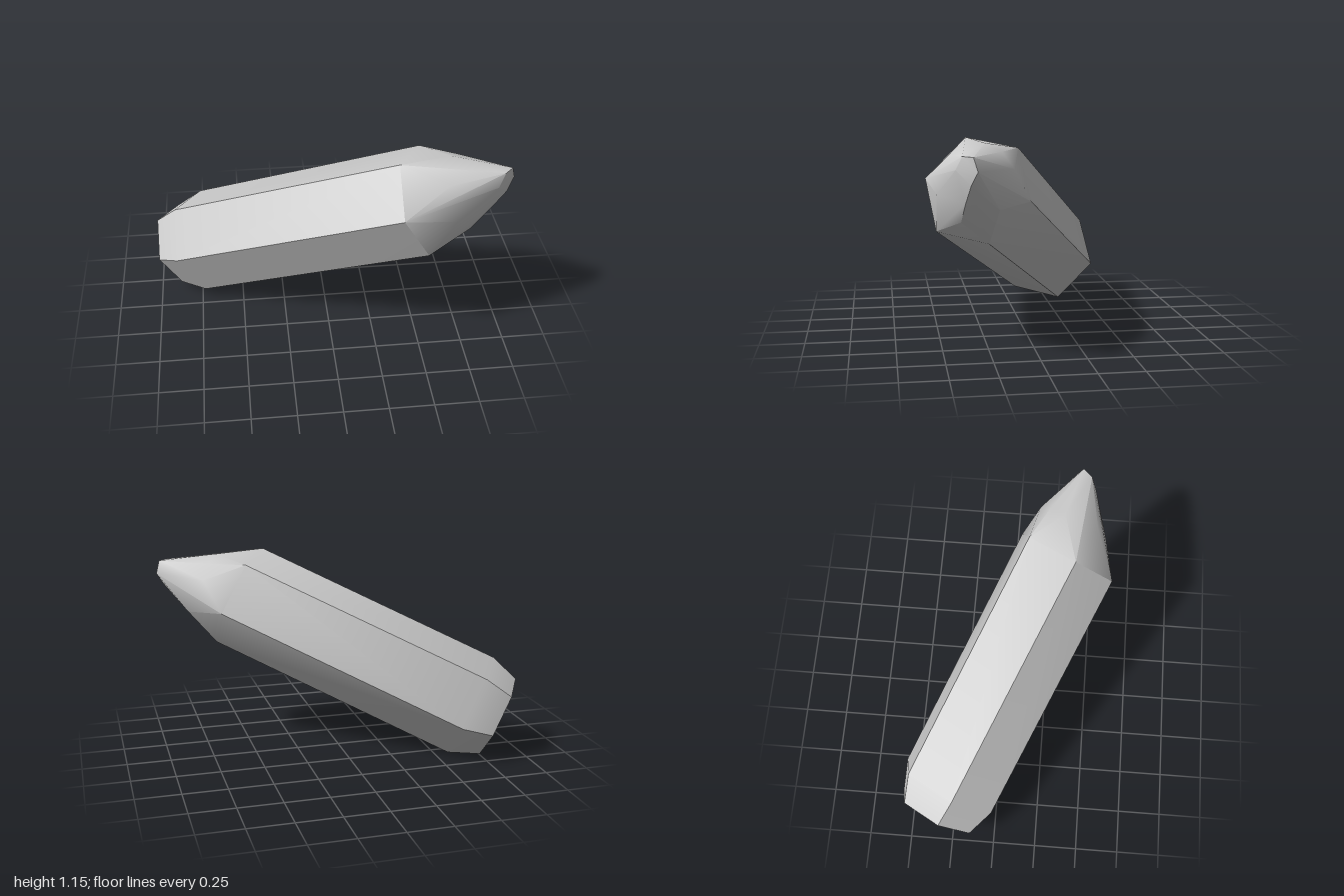
import * as THREE from 'three';
import { ConvexGeometry } from 'three/addons/geometries/ConvexGeometry.js';
import { toCreasedNormals } from 'three/addons/utils/BufferGeometryUtils.js';

// Leaning axis of the crystal and the two directions of its hexagonal section
const axis = new THREE.Vector3(0.82, 0.405, 0.405).normalize();
const u = new THREE.Vector3(0, 1, -1).normalize();
const w = new THREE.Vector3().crossVectors(u, axis).normalize();
if (w.y < 0) w.negate();

function hexRing(x, y, z, radius) {
  const points = [];
  for (let i = 0; i < 6; i++) {
    const a = (i * Math.PI) / 3;
    points.push(new THREE.Vector3(x, y, z)
      .addScaledVector(u, radius * Math.cos(a))
      .addScaledVector(w, radius * Math.sin(a)));
  }
  return points;
}

export function createModel() {
  const group = new THREE.Group();
  group.name = 'crystal';
  const stone = new THREE.MeshStandardMaterial({ color: 0xcccccc });
  stone.name = 'pale grey stone';

  // Irregular facet corners between the shaft and the point
  const facets = [
    [0.72, 1.1, 0.2], [0.66, 1.14, 0.28], [0.62, 1.07, 0.47],
    [0.66, 0.88, 0.53], [0.77, 0.75, 0.415], [0.84, 0.82, 0.225],
    [0.76, 1.015, 0.14], [0.87, 0.86, 0.4],
  ];
  // Small blunt tip
  const tip = [
    [1.0, 1.03, 0.35], [0.98, 1.1, 0.37], [0.93, 1.1, 0.42],
    [0.89, 1.03, 0.45], [0.96, 0.96, 0.38],
  ];

  const points = [
    ...hexRing(-0.877, 0.21, -0.349, 0.245), // bevelled base
    ...hexRing(-0.73, 0.274, -0.285, 0.31),  // start of the shaft
    ...hexRing(0.52, 0.882, 0.308, 0.31),    // end of the shaft
    ...[...facets, ...tip].map((p) => new THREE.Vector3(...p)),
  ];

  // Smooth over shallow facets, sharp along the six long edges
  const geometry = toCreasedNormals(new ConvexGeometry(points), 0.7);
  const body = new THREE.Mesh(geometry, stone);
  body.name = 'crystalBody';
  group.add(body);
  return group;
}
